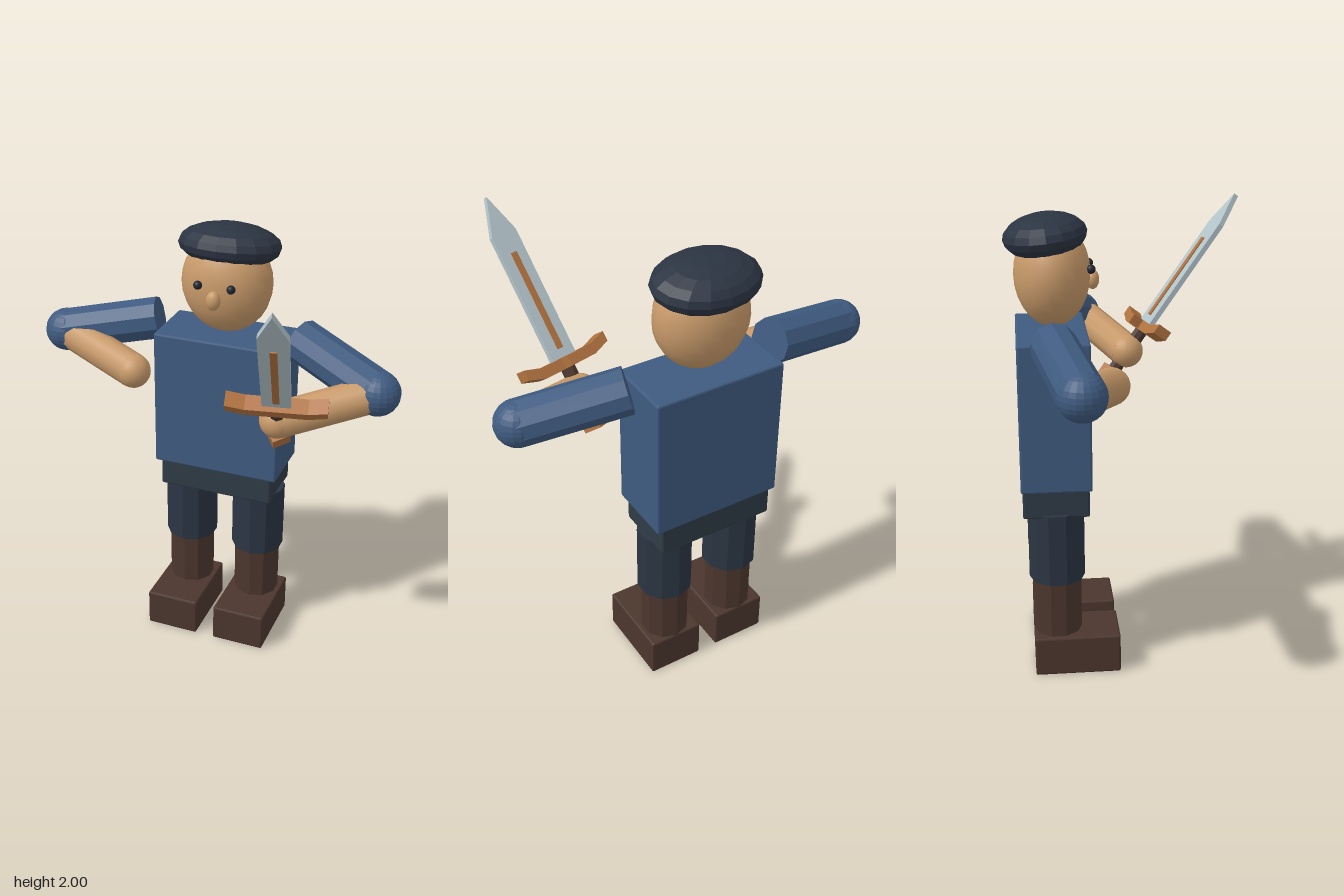
import * as THREE from 'three';
import { RoundedBoxGeometry } from 'three/addons/geometries/RoundedBoxGeometry.js';

const mat = (name, color, flatShading = false) => {
  const m = new THREE.MeshStandardMaterial({ color, flatShading });
  m.name = name;
  return m;
};

export function createModel() {
  const shirt = mat('blue shirt', 0x3f5b80, true);
  const trousers = mat('dark trousers', 0x2b3543, true);
  const belt = mat('slate hips', 0x2f3b46, true);
  const boots = mat('dark brown leather', 0x4b362d, true);
  const skin = mat('skin', 0xc89a6a);
  const hatMat = mat('navy hat', 0x2b3442, true);
  const eyeMat = mat('eye', 0x20262f);
  const wood = mat('orange brown wood', 0xb0723f, true);
  const steel = mat('steel', 0xb3c4ca, true);

  const model = new THREE.Group();
  model.name = 'swordsman';
  const add = (name, geo, material, x = 0, y = 0, z = 0, parent = model) => {
    const m = new THREE.Mesh(geo, material);
    m.name = name;
    m.position.set(x, y, z);
    parent.add(m);
    return m;
  };
  const rbox = (w, h, d) => new RoundedBoxGeometry(w, h, d, 1, 0.008);
  const ball = (name, r, material, p, parent = model) =>
    add(name, new THREE.SphereGeometry(r, 20, 14), material, p[0], p[1], p[2], parent);
  // ten-sided rod between two points
  const rod = (name, a, b, r, material, parent) => {
    const A = new THREE.Vector3(...a), B = new THREE.Vector3(...b);
    const m = add(name, new THREE.CylinderGeometry(r, r, A.distanceTo(B), 10), material, 0, 0, 0, parent);
    m.position.copy(A).add(B).multiplyScalar(0.5);
    m.quaternion.setFromUnitVectors(new THREE.Vector3(0, 1, 0), B.sub(A).normalize());
  };

  // Body
  const cx = 0.008, bz = -0.347;
  add('torso', rbox(0.587, 0.64, 0.302), shirt, cx, 1.19, bz);
  add('hips', rbox(0.535, 0.16, 0.284), belt, cx, 0.825, -0.349);

  // Legs
  for (const s of [-1, 1]) {
    const x = cx + s * 0.169;
    add('trouserLeg', new THREE.CylinderGeometry(0.122, 0.122, 0.323, 10), trousers, x, 0.598, -0.349);
    add('bootShaft', new THREE.CylinderGeometry(0.106, 0.106, 0.3, 10), boots, x, 0.31, -0.35);
    add('bootFoot', rbox(0.25, 0.178, 0.376), boots, x, 0.094, -0.268);
  }

  // Head, face and hat
  ball('head', 1, skin, [cx, 1.745, -0.337]).scale.set(0.204, 0.222, 0.162);
  ball('nose', 1, skin, [cx, 1.717, -0.167]).scale.set(0.032, 0.042, 0.028);
  for (const s of [-1, 1]) ball('eye', 0.019, eyeMat, [cx + s * 0.075, 1.773, -0.178]);
  const hat = add('hat', new THREE.SphereGeometry(1, 16, 10), hatMat, cx, 1.905, -0.363);
  hat.scale.set(0.23, 0.093, 0.178);
  hat.rotation.x = -0.12;

  // Arms: shoulder, elbow and hand positions
  const arms = [
    ['rightArm', [-0.318, 1.522, -0.35], [-0.747, 1.433, -0.26], [-0.35, 1.352, -0.12]],
    ['leftArm', [0.345, 1.52, -0.352], [0.738, 1.41, -0.185], [0.366, 1.306, 0.01]],
  ];
  for (const [name, shoulder, elbow, hand] of arms) {
    const arm = new THREE.Group();
    arm.name = name;
    model.add(arm);
    rod('upperArm', shoulder, elbow, 0.097, shirt, arm);
    ball('elbow', 0.097, shirt, elbow, arm);
    rod('forearm', elbow, hand, 0.078, skin, arm);
    ball('hand', 0.077, skin, hand, arm);
  }

  // Sword: local y runs to the tip, local x along the guard
  const sword = new THREE.Group();
  sword.name = 'sword';
  const up = new THREE.Vector3(0.144, 0.793, 0.592).normalize();
  const face = new THREE.Vector3(0.976, 0, -0.214).cross(up).normalize();
  const side = up.clone().cross(face);
  sword.quaternion.setFromRotationMatrix(new THREE.Matrix4().makeBasis(side, up, face));
  sword.position.set(0.388, 1.412, 0.095);
  model.add(sword);
  const plate = (points, depth) => {
    const shape = new THREE.Shape(points.map(([x, y]) => new THREE.Vector2(x, y)));
    return new THREE.ExtrudeGeometry(shape, { depth, bevelEnabled: false }).translate(0, 0, -depth / 2);
  };
  add('blade', plate([[-0.06, 0], [0.06, 0], [0.06, 0.575], [0, 0.735], [-0.06, 0.575]], 0.024), steel, 0, 0, 0, sword);
  add('bladeInlay', new THREE.BoxGeometry(0.028, 0.43, 0.034), wood, 0, 0.275, 0, sword);
  add('guard', plate([[-0.21, 0], [-0.13, -0.025], [0.13, -0.025], [0.21, 0],
    [0.21, 0.045], [0.13, 0.022], [-0.13, 0.022], [-0.21, 0.045]], 0.07), wood, 0, 0, 0, sword);
  add('guardBlock', new THREE.BoxGeometry(0.06, 0.045, 0.085), wood, 0, 0, -0.045, sword);
  add('grip', new THREE.CylinderGeometry(0.032, 0.032, 0.26, 8), boots, 0, -0.14, 0, sword);
  add('pommel', new THREE.BoxGeometry(0.08, 0.065, 0.08), wood, 0, -0.27, 0, sword).rotation.y = 0.5;

  return model;
}
